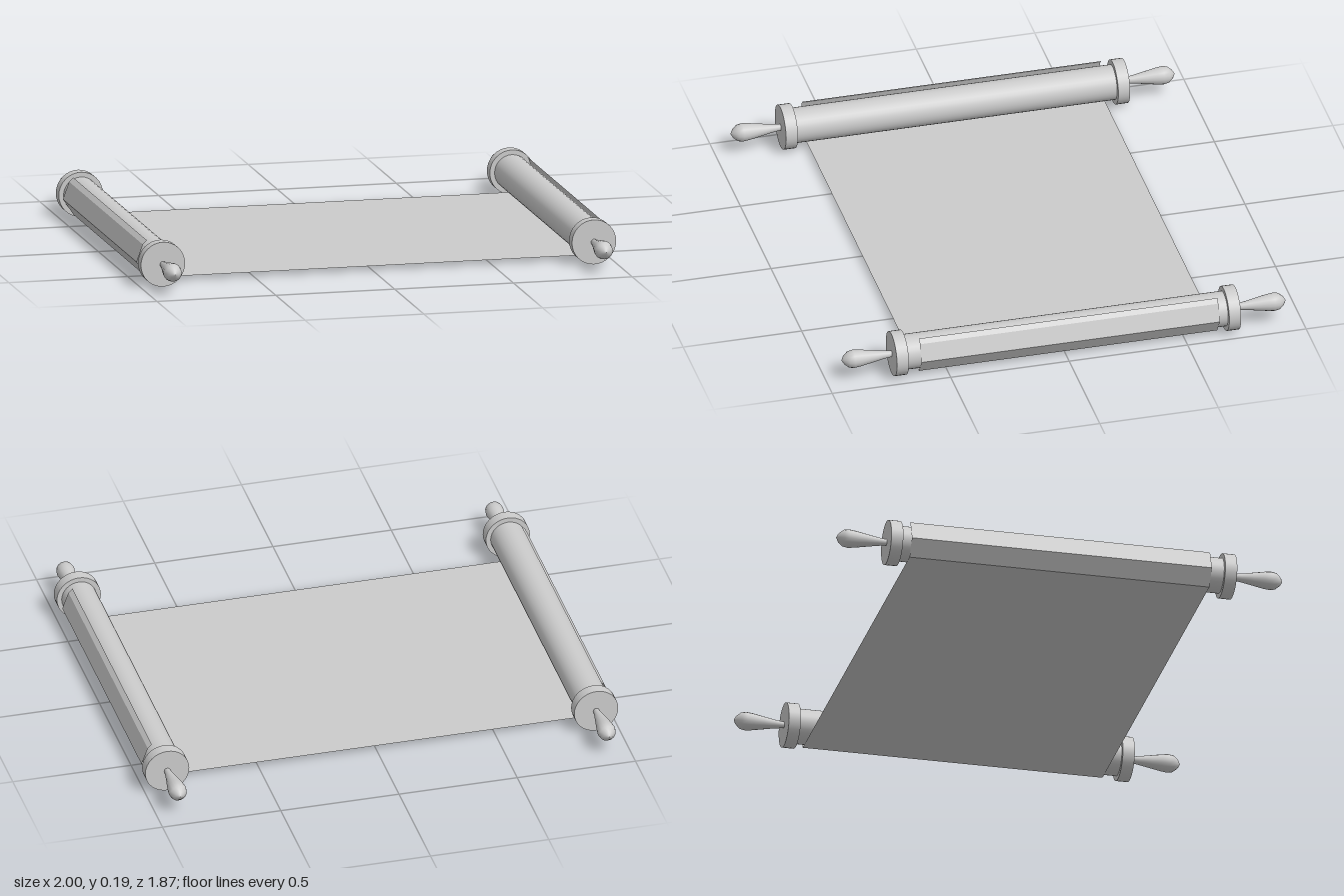
import * as THREE from 'three';

const material = new THREE.MeshStandardMaterial({ color: 0xcccccc });
const paperMaterial = new THREE.MeshStandardMaterial({
  color: 0xcccccc, side: THREE.DoubleSide, flatShading: true,
});

const ROD_X = 0.907, ROD_Y = 0.096, ROD_R = 0.073, ROD_HALF = 0.68;
const DISC_R = 0.093, DISC_IN = 0.676, DISC_OUT = 0.726;

function addMesh(parent, name, geometry, mat = material) {
  const mesh = new THREE.Mesh(geometry, mat);
  mesh.name = name;
  parent.add(mesh);
  return mesh;
}

// Cylinder lying along z
function zCylinder(radius, from, to) {
  return new THREE.CylinderGeometry(radius, radius, to - from, 32)
    .rotateX(Math.PI / 2)
    .translate(0, 0, (from + to) / 2);
}

// Club-shaped handle: slim at the disc, swelling to a blunt point
function handleGeometry() {
  const profile = [
    [0.012, 0.72], [0.018, 0.765], [0.027, 0.815], [0.035, 0.86],
    [0.038, 0.887], [0.034, 0.908], [0.018, 0.927], [0, 0.937],
  ].map(([r, z]) => new THREE.Vector2(r, z));
  return new THREE.LatheGeometry(profile, 16).rotateX(Math.PI / 2);
}

// Rod with a disc and a handle at each end
function createRoller(name) {
  const roller = new THREE.Group();
  roller.name = name;
  addMesh(roller, 'rod', zCylinder(ROD_R, -ROD_HALF, ROD_HALF));
  for (const end of ['front', 'back']) {
    const cap = new THREE.Group();
    cap.name = end + 'End';
    addMesh(cap, 'disc', zCylinder(DISC_R, DISC_IN, DISC_OUT));
    addMesh(cap, 'handle', handleGeometry());
    if (end === 'back') cap.rotation.y = Math.PI;
    roller.add(cap);
  }
  return roller;
}

// Sheet lying flat between the rods, its ends folded up around their outer sides
function paperGeometry(zBack, zFront) {
  const wrap = [[0.04, -0.075], [0.085, -0.008], [0.059, 0.064], [0.042, 0.081]]
    .map(([x, y]) => [ROD_X + x, ROD_Y + y]);
  const section = [...wrap.map(([x, y]) => [-x, y]).reverse(), ...wrap];
  const positions = [];
  for (let i = 0; i < section.length - 1; i++) {
    const [ax, ay] = section[i], [bx, by] = section[i + 1];
    positions.push(
      ax, ay, zFront, bx, by, zFront, bx, by, zBack,
      ax, ay, zFront, bx, by, zBack, ax, ay, zBack,
    );
  }
  const geometry = new THREE.BufferGeometry();
  geometry.setAttribute('position', new THREE.Float32BufferAttribute(positions, 3));
  geometry.computeVertexNormals();
  return geometry;
}

export function createModel() {
  const scroll = new THREE.Group();
  scroll.name = 'scroll';
  for (const side of [-1, 1]) {
    const roller = createRoller(side > 0 ? 'leftRoller' : 'rightRoller');
    roller.position.set(side * ROD_X, ROD_Y, 0);
    scroll.add(roller);
  }
  addMesh(scroll, 'paper', paperGeometry(-0.638, 0.621), paperMaterial);
  return scroll;
}
